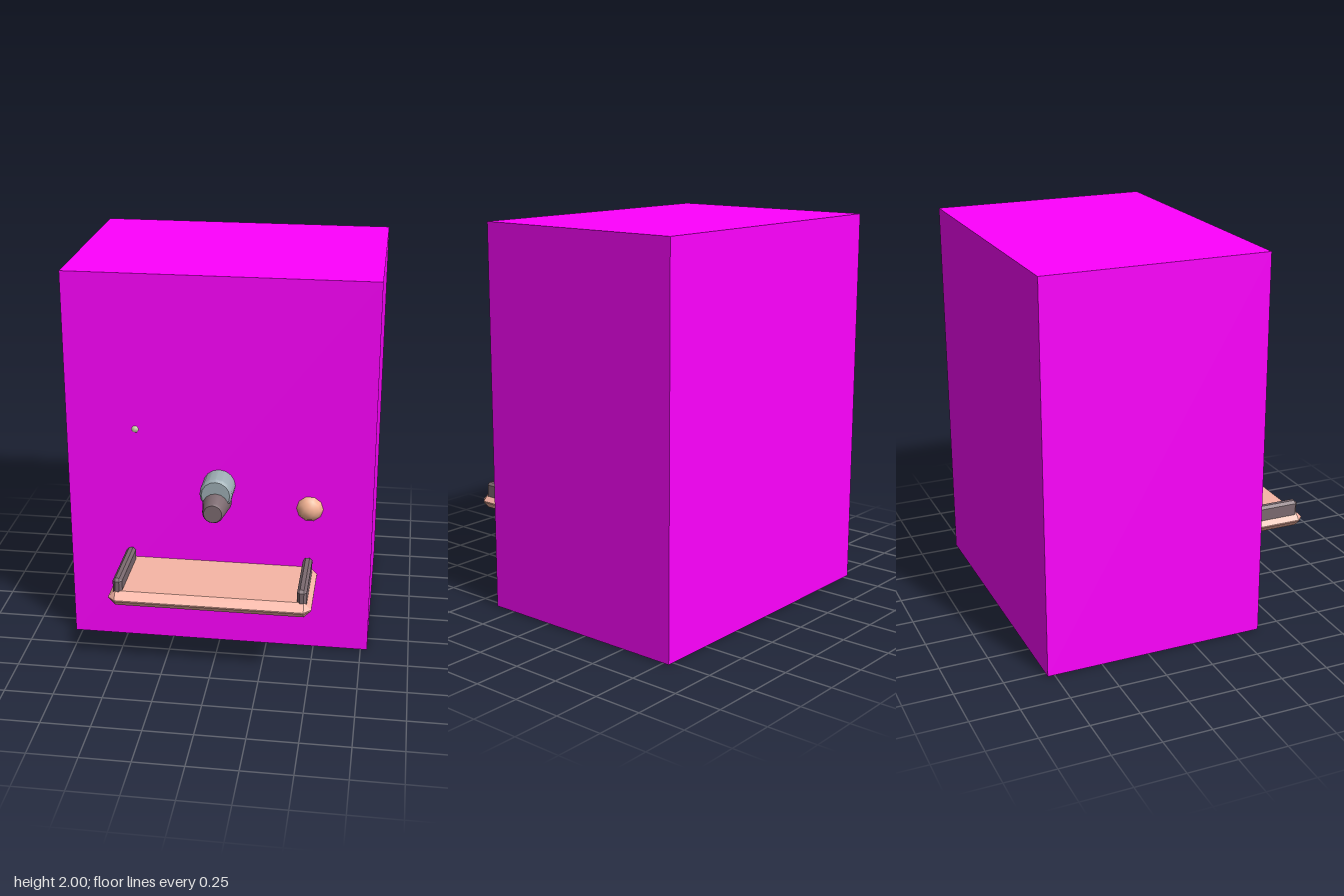
import * as THREE from 'three';
import { ConvexGeometry } from 'three/addons/geometries/ConvexGeometry.js';
import { toCreasedNormals } from 'three/addons/utils/BufferGeometryUtils.js';

const paint = (color, flatShading = false) => new THREE.MeshStandardMaterial({ color, flatShading });

// Box with every edge and corner cut back by b
function chamferBox(w, h, d, b) {
  const half = [w / 2, h / 2, d / 2];
  const points = [];
  for (let axis = 0; axis < 3; axis++)
    for (const sx of [-1, 1]) for (const sy of [-1, 1]) for (const sz of [-1, 1]) {
      const p = [sx, sy, sz].map((s, i) => s * (half[i] - (i === axis ? 0 : b)));
      points.push(new THREE.Vector3(...p));
    }
  return new ConvexGeometry(points);
}

// Turned part along +z from [radius, z] pairs
function turned(profile, sides) {
  const geo = new THREE.LatheGeometry(profile.map(([r, z]) => new THREE.Vector2(r, z)), sides);
  geo.rotateX(Math.PI / 2);
  return toCreasedNormals(geo, 0.7);
}

export function createModel() {
  const model = new THREE.Group();
  const add = (name, geo, mat, x, y, z) => {
    const mesh = new THREE.Mesh(geo, mat);
    mesh.name = name;
    mesh.position.set(x, y, z);
    model.add(mesh);
    return mesh;
  };
  const magenta = paint(0xff00ff, true);
  const peach = paint(0xf8b6a6, true);
  const dark = paint(0x7c6a70, true);

  // Large cabinet and the dark plate beneath it
  add('cabinet', new THREE.BoxGeometry(1.57, 1.998, 1.155), magenta, 0, 1.001, -0.2085);
  add('basePlate', new THREE.BoxGeometry(1.47, 0.01, 1.055), paint(0x4a4040, true), 0, 0.005, -0.2085);

  // Tray with its two side rails
  add('tray', chamferBox(1.02, 0.08, 0.56, 0.037), peach, 0, 0.43, 0.508);
  for (const side of [-1, 1])
    add('trayRail', chamferBox(0.048, 0.1, 0.376, 0.014), dark, side * 0.462, 0.485, 0.567);

  // Spout and the tapered nozzle hanging off its front
  add('spout', turned([[0, 0.3], [0.083, 0.3], [0.083, 0.49], [0.072, 0.505], [0, 0.505]], 16),
    paint(0x9dadb3), 0, 0.908, 0);
  add('nozzle', turned([[0, 0.44], [0.075, 0.44], [0.054, 0.592], [0.046, 0.605], [0, 0.605]], 16),
    paint(0x7c6a70), 0, 0.852, 0);

  // Round knob and small button on the front panel
  const knob = new THREE.SphereGeometry(0.074, 10, 8).rotateX(Math.PI / 2);
  add('knob', knob, paint(0xf8b696), 0.465, 0.802, 0.342);
  const button = new THREE.SphereGeometry(0.03, 6, 4).rotateX(Math.PI / 2);
  add('button', button, paint(0xd6e4ae), -0.43, 1.19, 0.347);

  return model;
}
